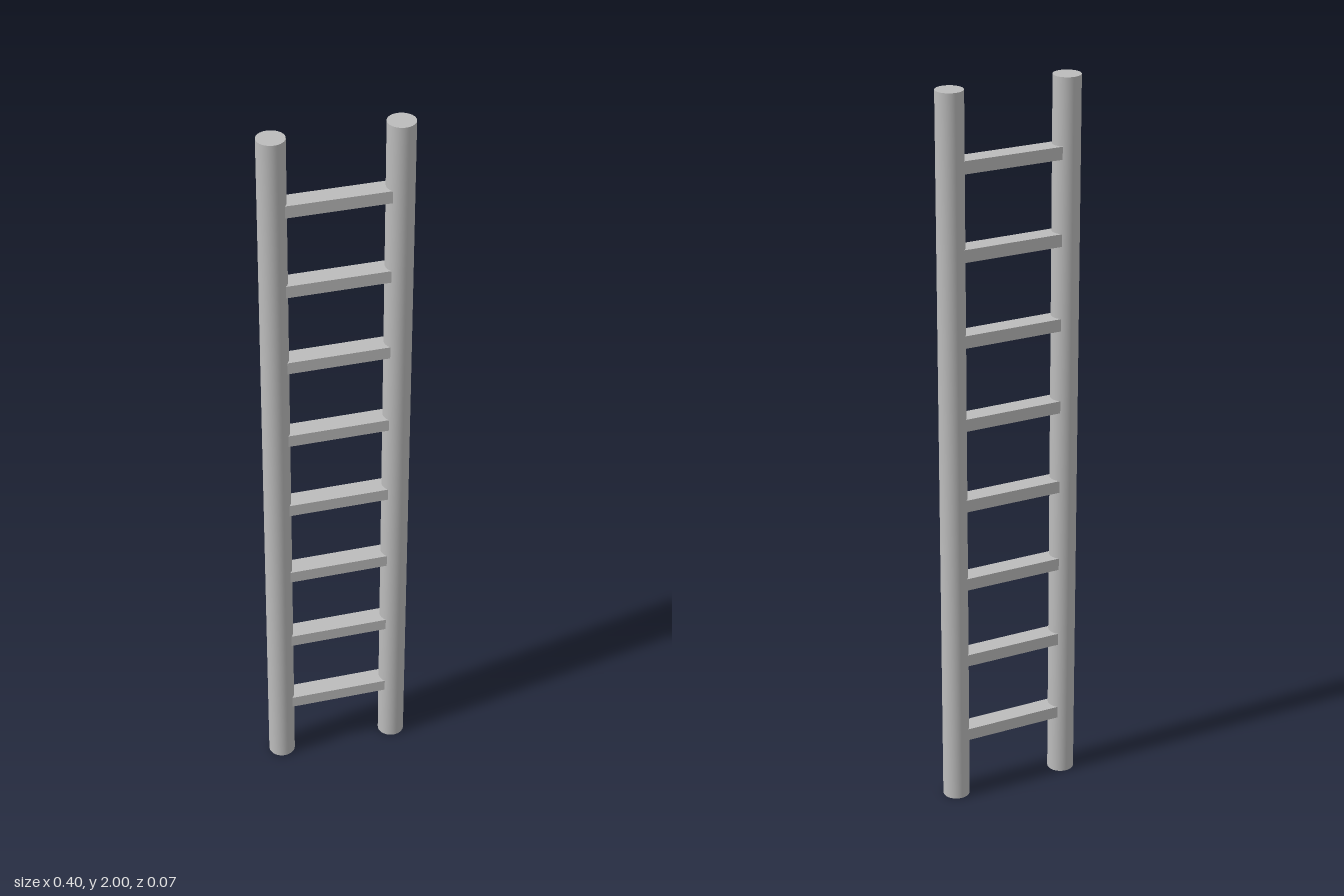
import * as THREE from 'three';

export function createModel() {
  const model = new THREE.Group();
  model.name = 'ladder';
  const grey = new THREE.MeshStandardMaterial({ color: 0xbcbcbc });
  grey.name = 'grey';

  // Two round side rails
  const railGeometry = new THREE.CylinderGeometry(0.0365, 0.0365, 2, 48);
  for (const [name, side] of [['leftRail', 1], ['rightRail', -1]]) {
    const rail = new THREE.Mesh(railGeometry, grey);
    rail.name = name;
    rail.position.set(side * 0.1615, 1, 0);
    model.add(rail);
  }

  // Eight flat rungs, let into the rails
  const rungGeometry = new THREE.BoxGeometry(0.3, 0.034, 0.052);
  for (let i = 0; i < 8; i++) {
    const rung = new THREE.Mesh(rungGeometry, grey);
    rung.name = `rung${i + 1}`;
    rung.position.set(0, 0.19 + i * 0.2307, -0.001);
    model.add(rung);
  }
  return model;
}
